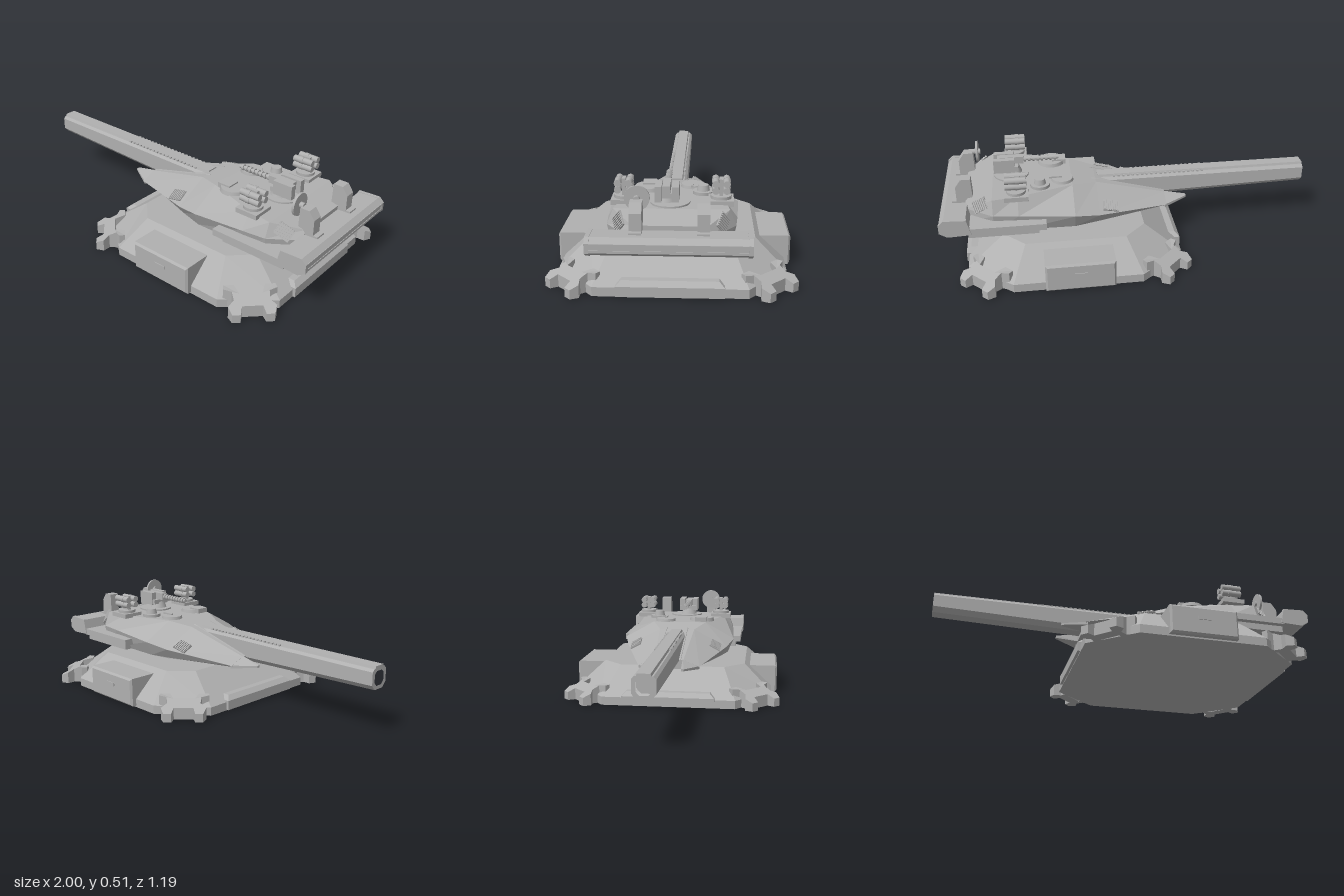
import * as THREE from 'three';

const grey = new THREE.MeshStandardMaterial({ color: 0xb0b0b0 });
grey.name = 'armour grey';
const V = (x, y, z) => new THREE.Vector3(x, y, z);

function add(parent, name, geo, x = 0, y = 0, z = 0) {
  const m = new THREE.Mesh(geo, grey);
  m.name = name;
  m.position.set(x, y, z);
  parent.add(m);
  return m;
}
// Box given by its min and max corners
function block(parent, name, [x0, x1], [y0, y1], [z0, z1]) {
  return add(parent, name, new THREE.BoxGeometry(x1 - x0, y1 - y0, z1 - z0),
    (x0 + x1) / 2, (y0 + y1) / 2, (z0 + z1) / 2);
}
// Upright cylinder standing on y
const drum = (parent, name, r, h, x, y, z, rTop = r) =>
  add(parent, name, new THREE.CylinderGeometry(rTop, r, h, 24), x, y + h / 2, z);
// Cylinder lying along x
function rod(parent, name, r, x0, x1, y, z, sides = 12) {
  const g = new THREE.CylinderGeometry(r, r, x1 - x0, sides).rotateZ(Math.PI / 2);
  return add(parent, name, g, (x0 + x1) / 2, y, z);
}

// Flat-shaded skin through closed rings, with end caps; faces turned outward
function loft(rings) {
  const tris = [], n = rings[0].length, last = rings[rings.length - 1];
  for (let i = 0; i < rings.length - 1; i++) for (let j = 0; j < n; j++) {
    const k = (j + 1) % n, a = rings[i], b = rings[i + 1];
    tris.push([a[j], a[k], b[k]], [a[j], b[k], b[j]]);
  }
  for (let j = 1; j < n - 1; j++) {
    tris.push([rings[0][0], rings[0][j + 1], rings[0][j]], [last[0], last[j], last[j + 1]]);
  }
  const volume = tris.reduce((s, [a, b, c]) => s + a.dot(b.clone().cross(c)), 0);
  if (volume < 0) tris.forEach(t => t.reverse());
  const g = new THREE.BufferGeometry().setFromPoints(tris.flat());
  g.computeVertexNormals();
  return g;
}
// Chamfered rectangle, half sizes a and b, corner cuts p and q
const octagon = (cx, y, a, b, p, q) => [
  [a, b - q], [a - p, b], [p - a, b], [-a, b - q], [-a, q - b], [p - a, -b], [a - p, -b], [a, q - b],
].map(([x, z]) => V(cx + x, y, z));

// Extrude a z-y outline along x
function alongX(points, x0, x1, hole) {
  const s = new THREE.Shape(points.map(([z, y]) => new THREE.Vector2(z, y)));
  if (hole) s.holes.push(new THREE.Path(hole.map(([z, y]) => new THREE.Vector2(z, y))));
  return new THREE.ExtrudeGeometry(s, { depth: x1 - x0, bevelEnabled: false })
    .rotateY(Math.PI / 2).translate(x0, 0, 0);
}
const mirrored = half => [...half, ...half.slice().reverse().map(([z, y]) => [-z, y])];

function buildBase() {
  const base = new THREE.Group();
  base.name = 'base';
  add(base, 'baseHull', loft([
    octagon(0.315, 0, 0.56, 0.55, 0.23, 0.19),
    octagon(0.315, 0.045, 0.56, 0.55, 0.23, 0.19),
    octagon(0.315, 0.185, 0.37, 0.4, 0.11, 0.11),
  ]));
  // End steps
  for (const s of [1, -1]) {
    add(base, 'endStep', loft([[0.005, 0.575, 0.25], [0.055, 0.575, 0.25], [0.078, 0.55, 0.225]].map(([y, o, w]) =>
      [V(0.315 + s * 0.4, y, w), V(0.315 + s * o, y, w), V(0.315 + s * o, y, -w), V(0.315 + s * 0.4, y, -w)])));
    // Side pods with a framed recess and handle
    const pod = new THREE.Group();
    pod.name = 'sidePod';
    base.add(pod);
    add(pod, 'podBody', loft([[0.41, 0], [0.572, 0], [0.582, 0.01]].map(([z, c]) =>
      [V(0.13 + c, 0.008 + c, s * z), V(0.485 - c, 0.008 + c, s * z),
        V(0.485 - c, 0.16 - c, s * z), V(0.13 + c, 0.16 - c, s * z)])));
    block(pod, 'podHandle', [0.275, 0.34], [0.09, 0.108], [s * 0.582 - 0.004, s * 0.582 + 0.004]);
  }
  // Clawed feet on the diagonals
  const half = [[0.05, 0.05], [0.06, 0.09], [0.1, 0.09], [0.115, 0.05], [0.085, 0.02],
    [0.09, -0.02], [0.13, -0.035], [0.125, -0.065], [0.075, -0.065], [0.055, -0.01]];
  const outline = new THREE.Shape(mirrored(half).map(([u, v]) => new THREE.Vector2(u, v)));
  const foot = new THREE.ExtrudeGeometry(outline, { depth: 0.1, bevelEnabled: false })
    .rotateX(Math.PI / 2).translate(0, 0.1, 0);
  const p = foot.attributes.position;
  for (let i = 0; i < p.count; i++) {
    if (p.getY(i) > 0.05) p.setY(i, 0.1 - 0.055 * Math.max(0, p.getZ(i) + 0.03) / 0.12);
  }
  foot.computeVertexNormals();
  for (const sx of [1, -1]) for (const sz of [1, -1]) {
    add(base, 'clawFoot', foot, 0.315 + sx * 0.465, 0, sz * 0.46).rotation.y = Math.atan2(sx, sz);
  }
  return base;
}

function buildGun() {
  const gun = new THREE.Group();
  gun.name = 'mainGun';
  const outline = mirrored([[0.03, 0.355], [0.034, 0.343], [0.042, 0.343], [0.055, 0.33], [0.055, 0.265], [0.032, 0.24]]);
  const bore = mirrored([[0.02, 0.33], [0.036, 0.315], [0.036, 0.275], [0.02, 0.258]]);
  // The underside deepens toward the turret
  const sag = g => {
    const p = g.attributes.position;
    for (let i = 0; i < p.count; i++) {
      if (p.getY(i) < 0.27) p.setY(i, p.getY(i) - 0.028 * (p.getX(i) + 1));
    }
    g.computeVertexNormals();
    return g;
  };
  add(gun, 'muzzle', sag(alongX(outline, -1, -0.88, bore)));
  add(gun, 'barrel', sag(alongX(outline, -0.88, 0.165)));
  // Cooling ribs beside the top rail
  for (const s of [1, -1]) for (let i = 0; i < 20; i++) {
    add(gun, 'coolingRib', new THREE.BoxGeometry(0.012, 0.01, 0.01), -0.42 + i * 0.026, 0.346, s * 0.038);
  }
  return gun;
}

// Louvred plate facing direction n
function vent(parent, pos, n) {
  const g = new THREE.Group();
  g.name = 'vent';
  g.position.copy(pos);
  g.quaternion.setFromUnitVectors(V(0, 1, 0), n.normalize());
  add(g, 'ventPlate', new THREE.BoxGeometry(0.085, 0.008, 0.065));
  for (let i = -3; i <= 3; i++) add(g, 'ventSlat', new THREE.BoxGeometry(0.005, 0.008, 0.06), i * 0.012, 0.005, 0);
  parent.add(g);
}

function buildTurret() {
  const turret = new THREE.Group();
  turret.name = 'turret';
  drum(turret, 'turretRing', 0.25, 0.025, 0.305, 0.18, 0);
  // x, then half width and height of floor, belt and roof edges
  const sections = [
    [-0.2, 0.13, 0.2, 0.165, 0.215, 0.08, 0.25], [0.18, 0.255, 0.2, 0.29, 0.255, 0.1, 0.352],
    [0.31, 0.29, 0.2, 0.325, 0.28, 0.155, 0.375], [0.6, 0.285, 0.2, 0.31, 0.295, 0.25, 0.377],
    [0.73, 0.28, 0.2, 0.3, 0.3, 0.27, 0.377], [0.87, 0.2, 0.22, 0.2, 0.3, 0.17, 0.345],
  ];
  add(turret, 'turretHull', loft(sections.map(([x, a, ya, b, yb, c, yc]) =>
    mirrored([[a, ya], [b, yb], [c, yc]]).map(([z, y]) => V(x, y, z)))));
  for (const s of [1, -1]) {
    // Pointed nose cheeks either side of the gun
    add(turret, 'noseCheek', loft([
      [V(-0.32, 0.215, s * 0.08), V(-0.32, 0.215, s * 0.095), V(-0.32, 0.225, s * 0.095), V(-0.32, 0.228, s * 0.08)],
      [V(-0.19, 0.2, s * 0.065), V(-0.19, 0.2, s * 0.165), V(-0.19, 0.216, s * 0.165), V(-0.19, 0.253, s * 0.075)],
    ]));
    add(turret, 'gunFairing', loft([
      [V(-0.2, 0.23, s * 0.06), V(-0.2, 0.23, s * 0.08), V(-0.2, 0.252, s * 0.065)],
      [V(0.2, 0.3, s * 0.05), V(0.2, 0.3, s * 0.13), V(0.2, 0.36, s * 0.06)],
    ]));
    vent(turret, V(0.115, 0.275, s * 0.23), V(-0.009, 0.034, s * 0.019));
    vent(turret, V(0.795, 0.336, s * 0.238), V(0.0075, 0.0055, s * 0.011));
    // Rear side skirts
    block(turret, 'rearSkirt', [0.46, 0.86], [0.235, 0.27], s > 0 ? [0.2, 0.36] : [-0.36, -0.2]);
    block(turret, 'skirtUnderside', [0.5, 0.86], [0.2, 0.24], s > 0 ? [0.2, 0.33] : [-0.33, -0.2]);
  }
  // Rear bustle bar with ribs and end caps
  const bar = (w, k) => loft([w[0], w[1]].map(z => [[0.84, 0.24], [0.96, 0.235], [1, 0.26], [1, 0.305],
    [0.975, 0.33], [0.86, 0.325]].map(([x, y]) => V(0.92 + (x - 0.92) * k, 0.283 + (y - 0.283) * k, z))));
  add(turret, 'rearBar', bar([-0.35, 0.35], 0.95));
  for (const s of [1, -1]) add(turret, 'rearBarCap', bar([s * 0.345, s * 0.365], 1));
  for (const y of [0.268, 0.298]) block(turret, 'rearRib', [0.985, 0.999], [y - 0.006, y + 0.006], [-0.345, 0.345]);
  return turret;
}

function buildRoofGear() {
  const gear = new THREE.Group();
  gear.name = 'roofEquipment';
  for (const s of [1, -1]) {
    // Four-tube launchers
    const launcher = new THREE.Group();
    launcher.name = 'launcher';
    launcher.position.set(0.605, 0, s * 0.23);
    gear.add(launcher);
    block(launcher, 'launcherPlate', [-0.062, 0.062], [0.37, 0.395], [-0.06, 0.06]);
    drum(launcher, 'launcherTurntable', 0.05, 0.015, 0, 0.395, 0);
    block(launcher, 'launcherPost', [-0.025, 0.025], [0.4, 0.49], [-0.009, 0.009]);
    for (const dz of [1, -1]) for (const y of [0.442, 0.475]) {
      rod(launcher, 'launchTube', 0.017, -0.055, 0.055, y, dz * 0.026);
      rod(launcher, 'tubeBand', 0.019, -0.02, 0, y, dz * 0.026);
    }
    // Chamfered rear sensor housings
    const profile = [[0.83, 0.3], [0.915, 0.3], [0.915, 0.415], [0.885, 0.457], [0.835, 0.457]];
    add(gear, 'sensorHousing', loft([0.122, 0.178].map(z => profile.map(([x, y]) => V(x, y, s * z)))));
    block(gear, 'housingFoot', [0.83, 0.94], [0.29, 0.335], [s * 0.15 - 0.028, s * 0.15 + 0.028]);
  }
  // Upright dish
  rod(gear, 'dish', 0.058, 0.806, 0.818, 0.455, 0.15, 32);
  rod(gear, 'dishHub', 0.015, 0.795, 0.84, 0.455, 0.15);
  // Hatches and sights
  drum(gear, 'frontHatch', 0.06, 0.018, 0.36, 0.372, -0.09, 0.056);
  block(gear, 'hatchHandle', [0.36, 0.43], [0.388, 0.398], [-0.096, -0.084]);
  drum(gear, 'sightBase', 0.052, 0.02, 0.48, 0.372, -0.145);
  drum(gear, 'sightHead', 0.032, 0.03, 0.48, 0.39, -0.145, 0.026);
  drum(gear, 'commanderHatch', 0.075, 0.022, 0.41, 0.372, 0.125, 0.07);
  block(gear, 'periscope', [0.33, 0.405], [0.37, 0.402], [0.09, 0.16]);
  // Roof machine gun
  const mg = new THREE.Group();
  mg.name = 'roofGun';
  gear.add(mg);
  drum(mg, 'gunRing', 0.095, 0.012, 0.63, 0.373, 0.01);
  drum(mg, 'gunPedestal', 0.05, 0.04, 0.62, 0.38, 0.025, 0.035);
  block(mg, 'gunBody', [0.56, 0.7], [0.435, 0.475], [0.008, 0.044]);
  for (const z of [-0.018, 0.062]) block(mg, 'gunBox', [0.61, 0.72], [0.405, 0.478], [z - 0.016, z + 0.016]);
  block(mg, 'gunCradle', [0.59, 0.68], [0.41, 0.436], [-0.03, 0.07]);
  rod(mg, 'gunBarrel', 0.01, 0.37, 0.57, 0.455, 0.026);
  for (let i = 0; i < 8; i++) rod(mg, 'barrelCollar', 0.016, 0.385 + i * 0.023, 0.397 + i * 0.023, 0.455, 0.026);
  return gear;
}

export function createModel() {
  const model = new THREE.Group();
  model.name = 'gunEmplacement';
  model.add(buildBase(), buildTurret(), buildGun(), buildRoofGear());
  return model;
}
